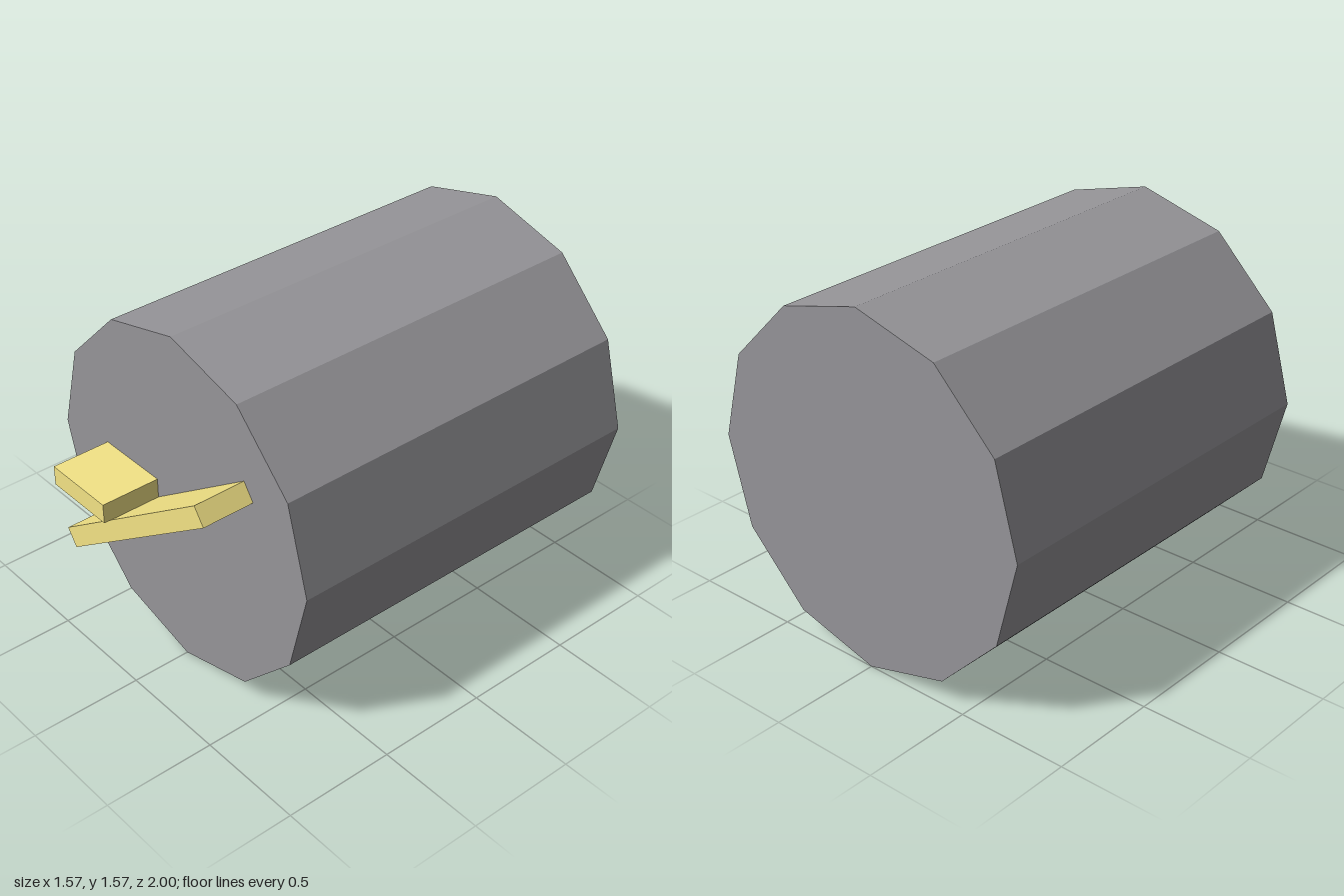
import * as THREE from 'three';

const RADIUS = 0.787;
const FACE_Z = 0.732; // front face of the drum
const BACK_Z = -1;

export function createModel() {
  const model = new THREE.Group();
  model.name = 'dialDrum';

  const steel = new THREE.MeshStandardMaterial({ color: 0x969599, flatShading: true });
  const brass = new THREE.MeshStandardMaterial({ color: 0xf4e486, flatShading: true });

  // Twelve-sided drum lying along z, with a corner at the top
  const depth = FACE_Z - BACK_Z;
  const drum = new THREE.Mesh(new THREE.CylinderGeometry(RADIUS, RADIUS, depth, 12), steel);
  drum.name = 'drum';
  drum.rotation.x = Math.PI / 2;
  drum.position.set(0, RADIUS, (FACE_Z + BACK_Z) / 2);
  model.add(drum);

  // Bars standing out from the front face
  const addBar = (name, x, length, frontZ, angle) => {
    const thickness = frontZ - FACE_Z;
    const bar = new THREE.Mesh(new THREE.BoxGeometry(length, 0.09, thickness), brass);
    bar.name = name;
    bar.position.set(x, RADIUS, FACE_Z + thickness / 2);
    bar.rotation.z = angle;
    model.add(bar);
  };
  addBar('longHand', 0, 1.102, 0.967, THREE.MathUtils.degToRad(35));
  addBar('shortHand', -0.315, 0.345, 1, 0);

  return model;
}
